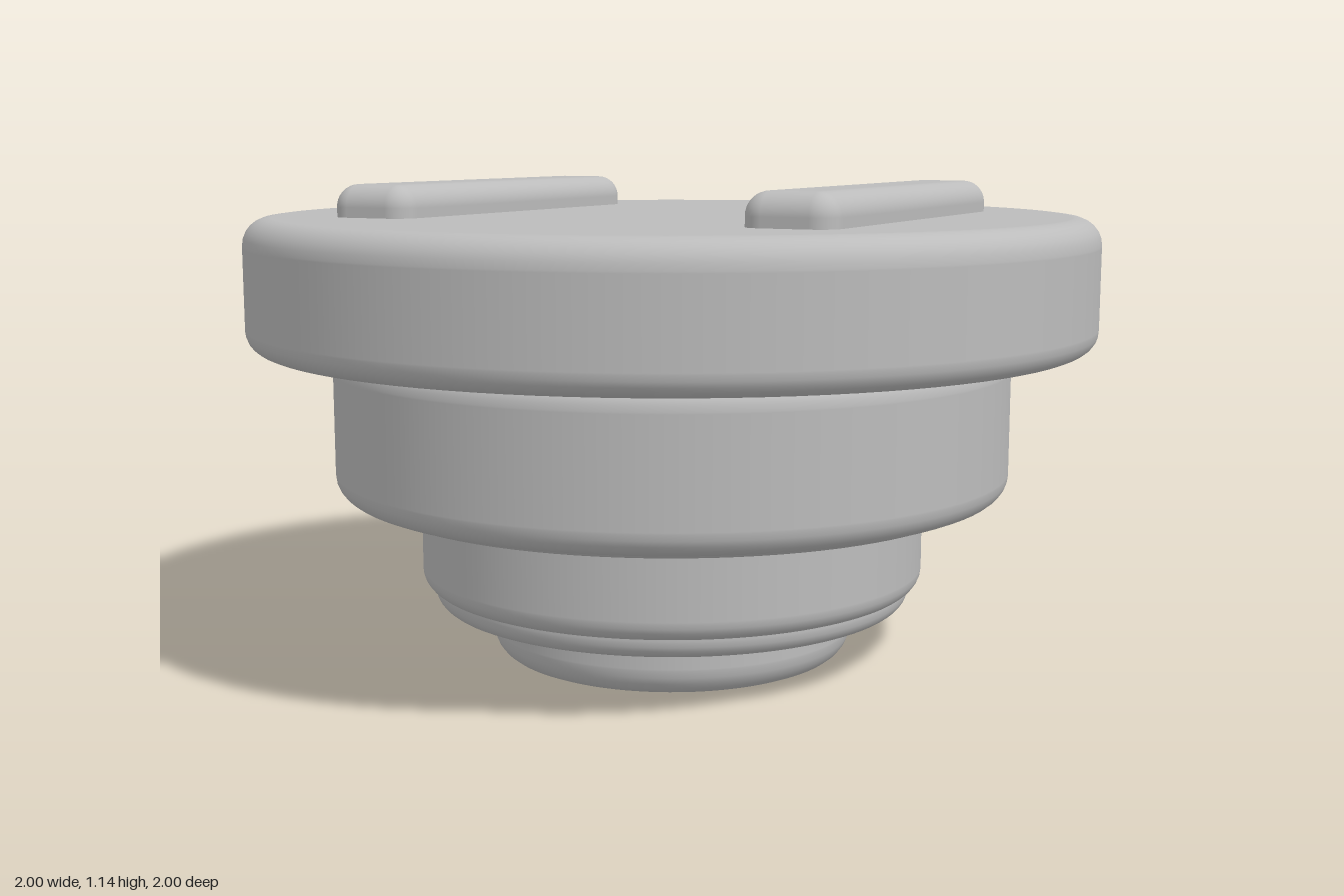
import * as THREE from 'three';
import { RoundedBoxGeometry } from 'three/addons/geometries/RoundedBoxGeometry.js';

const STEPS = 6;

// Solid disc with rounded rims; bottom and top fillet radii may differ.
function roundedDisc(radius, y0, y1, bottomFillet, topFillet) {
  const pts = [new THREE.Vector2(0, y0)];
  const arc = (cy, f, from) => {
    for (let i = 0; i <= STEPS; i++) {
      const a = from + (i / STEPS) * Math.PI / 2;
      pts.push(new THREE.Vector2(radius - f + f * Math.cos(a), cy + f * Math.sin(a)));
    }
  };
  // support points beside each fillet keep the flat faces flat
  const e = 0.004;
  pts.push(new THREE.Vector2(radius - bottomFillet - e, y0));
  arc(y0 + bottomFillet, bottomFillet, -Math.PI / 2);
  pts.push(new THREE.Vector2(radius, y0 + bottomFillet + e));
  pts.push(new THREE.Vector2(radius, y1 - topFillet - e));
  arc(y1 - topFillet, topFillet, 0);
  pts.push(new THREE.Vector2(radius - topFillet - e, y1));
  pts.push(new THREE.Vector2(0, y1));
  return new THREE.LatheGeometry(pts, 96);
}

export function createModel() {
  const group = new THREE.Group();
  const grey = new THREE.MeshStandardMaterial({ color: 0xbcbcbc });
  grey.name = 'grey';

  const add = (name, geometry, x = 0, y = 0, z = 0) => {
    const mesh = new THREE.Mesh(geometry, grey);
    mesh.name = name;
    mesh.position.set(x, y, z);
    group.add(mesh);
  };

  // Stacked tiers: name, radius, bottom, top, bottom fillet, top fillet
  const tiers = [
    ['foot', 0.435, 0, 0.15, 0.065, 0.04],
    ['lowerLip', 0.575, 0.13, 0.25, 0.04, 0.02],
    ['lowerTier', 0.605, 0.175, 0.45, 0.045, 0.02],
    ['middleLip', 0.75, 0.393, 0.5, 0.03, 0.02],
    ['middleTier', 0.805, 0.405, 0.757, 0.055, 0.05],
    ['topDisc', 1, 0.757, 1.062, 0.05, 0.062],
  ];
  for (const [name, ...size] of tiers) add(name, roundedDisc(...size));

  // Pair of raised rails on the top face
  for (const [name, side] of [['leftRail', 1], ['rightRail', -1]]) {
    add(name, new RoundedBoxGeometry(0.21, 0.15, 1.03, 5, 0.052), side * 0.515, 1.062);
  }
  return group;
}
